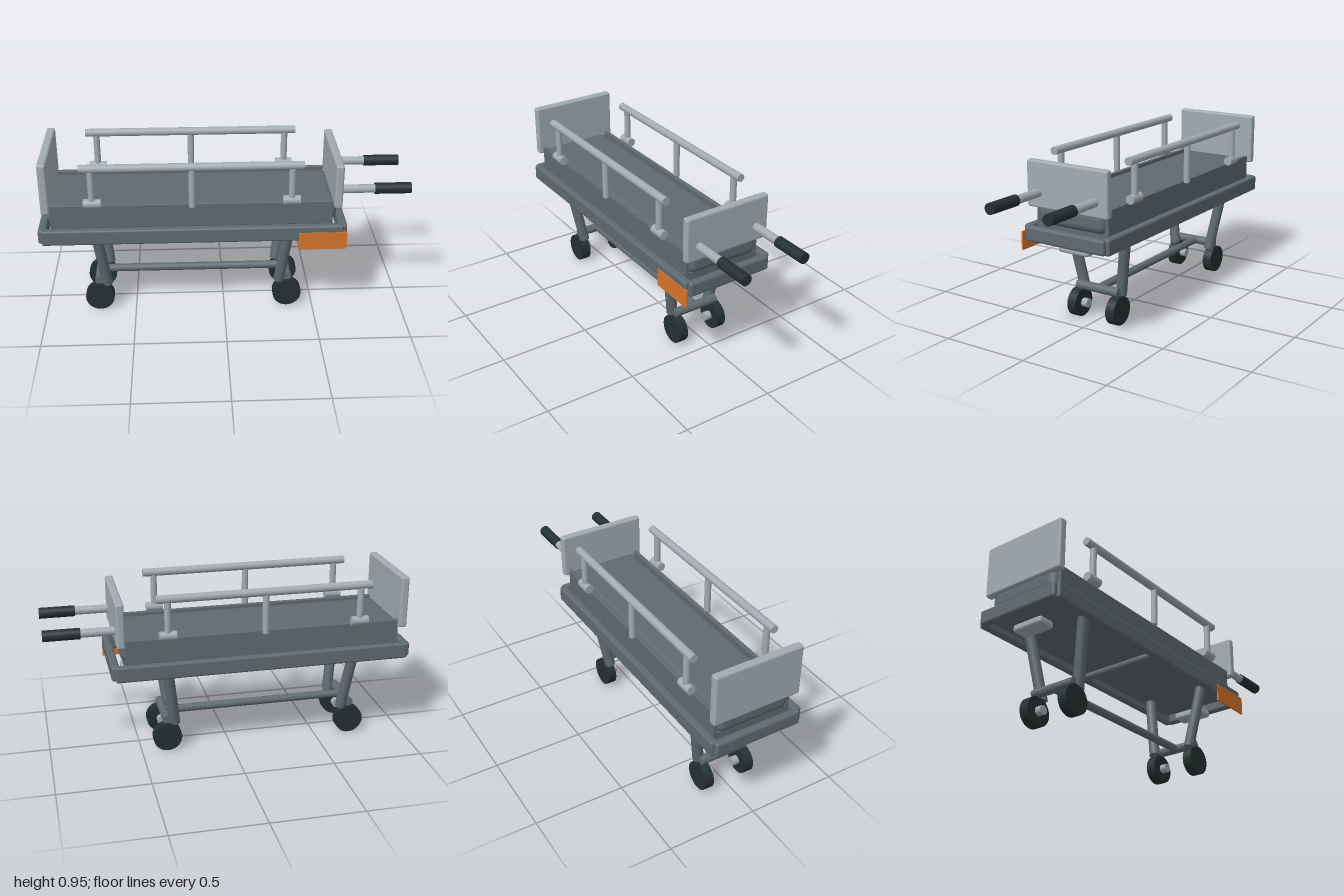
import * as THREE from 'three';
import { RoundedBoxGeometry } from 'three/addons/geometries/RoundedBoxGeometry.js';

export function createModel() {
  const model = new THREE.Group();
  model.name = 'hospitalStretcher';

  const material = (name, color) => {
    const m = new THREE.MeshStandardMaterial({ color });
    m.name = name;
    return m;
  };
  const darkGrey = material('slateGrey', 0x5e6a71);
  const lightGrey = material('paleGrey', 0xa1abb2);
  const rubber = material('blackRubber', 0x243030);
  const orange = material('orange', 0xd6742c);

  const add = (name, geometry, mat) => {
    const mesh = new THREE.Mesh(geometry, mat);
    mesh.name = name;
    model.add(mesh);
    return mesh;
  };

  // Box given by its low and high corners, rounded when r > 0
  const box = (name, [x0, y0, z0], [x1, y1, z1], mat, r = 0) => {
    const size = [x1 - x0, y1 - y0, z1 - z0];
    const geometry = r > 0 ? new RoundedBoxGeometry(...size, 3, r) : new THREE.BoxGeometry(...size);
    const mesh = add(name, geometry, mat);
    mesh.position.set((x0 + x1) / 2, (y0 + y1) / 2, (z0 + z1) / 2);
    return mesh;
  };

  // Round bar between two points
  const bar = (name, from, to, radius, mat, sides = 24) => {
    const a = new THREE.Vector3(...from);
    const b = new THREE.Vector3(...to);
    const dir = b.clone().sub(a);
    const mesh = add(name, new THREE.CylinderGeometry(radius, radius, dir.length(), sides), mat);
    mesh.position.copy(a).add(b).multiplyScalar(0.5);
    mesh.quaternion.setFromUnitVectors(new THREE.Vector3(0, 1, 0), dir.normalize());
    return mesh;
  };

  const rearX = -0.70;
  const frontX = 0.355;
  const midX = (rearX + frontX) / 2;

  // Bed frame, deck and mattress
  box('endRail', [-1, 0.485, -0.25], [-0.955, 0.568, 0.25], darkGrey, 0.015);
  box('endRail', [0.615, 0.485, -0.25], [0.66, 0.568, 0.25], darkGrey, 0.015);
  box('deck', [-0.93, 0.52, -0.225], [0.58, 0.575, 0.225], darkGrey);
  box('mattress', [-0.952, 0.568, -0.212], [0.606, 0.69, 0.212], darkGrey, 0.045);
  bar('deckCrossbar', [midX, 0.505, -0.23], [midX, 0.505, 0.23], 0.022, darkGrey);

  for (const s of [1, -1]) {
    const side = (z0, z1) => (s > 0 ? [z0, z1] : [-z1, -z0]);

    const [f0, f1] = side(0.225, 0.268);
    box('sideRail', [-0.98, 0.482, f0], [0.638, 0.57, f1], darkGrey, 0.012);
    const [w0, w1] = side(0.203, 0.226);
    box('mattressSide', [-0.93, 0.565, w0], [0.58, 0.7, w1], darkGrey, 0.004);

    // Guard rail with posts and clamps
    const z = s * 0.235;
    bar('guardRail', [-0.76, 0.92, z], [0.415, 0.92, z], 0.022, lightGrey);
    bar('guardMiddlePost', [midX, 0.69, z], [midX, 0.92, z], 0.018, lightGrey);

    for (const x of [rearX, frontX]) {
      bar('guardPost', [x, 0.71, z], [x, 0.92, z], 0.018, lightGrey);
      bar('guardClamp', [x - 0.046, 0.718, z], [x + 0.046, 0.718, z], 0.025, lightGrey);

      // Splayed leg, wheel and hub
      const inward = x < midX ? 0.045 : -0.045;
      bar('leg', [x, 0.52, s * 0.18], [x + inward, 0.155, s * 0.12], 0.03, darkGrey);
      bar('wheel', [x, 0.08, s * 0.099], [x, 0.08, s * 0.152], 0.08, rubber, 32);
      bar('wheelHub', [x, 0.08, s * 0.063], [x, 0.08, s * 0.1], 0.025, lightGrey);
    }

    // Push handle with grip
    const hz = s * 0.177;
    bar('pushHandle', [0.62, 0.747, hz], [0.82, 0.747, hz], 0.023, lightGrey);
    bar('handleGrip', [0.805, 0.747, hz], [1, 0.747, hz], 0.03, rubber);
  }

  // Lower stretchers
  bar('lowerStretcher', [rearX, 0.18, 0], [frontX, 0.18, 0], 0.022, darkGrey);
  for (const x of [rearX, frontX]) {
    bar('axleBar', [x, 0.18, -0.134], [x, 0.18, 0.134], 0.025, darkGrey);
  }

  // End boards
  box('headBoard', [-0.972, 0.66, -0.252], [-0.926, 0.95, 0.252], lightGrey, 0.012);
  box('footBoard', [0.582, 0.665, -0.252], [0.626, 0.914, 0.252], lightGrey, 0.012);

  // Foot pedals under both ends
  for (const x of [-0.87, 0.53]) {
    box('footPedal', [x - 0.05, 0.43, -0.095], [x + 0.05, 0.472, 0.095], lightGrey, 0.015);
  }

  // Side tag plate
  box('tagPlate', [0.396, 0.432, 0.263], [0.657, 0.533, 0.2725], orange);

  return model;
}
